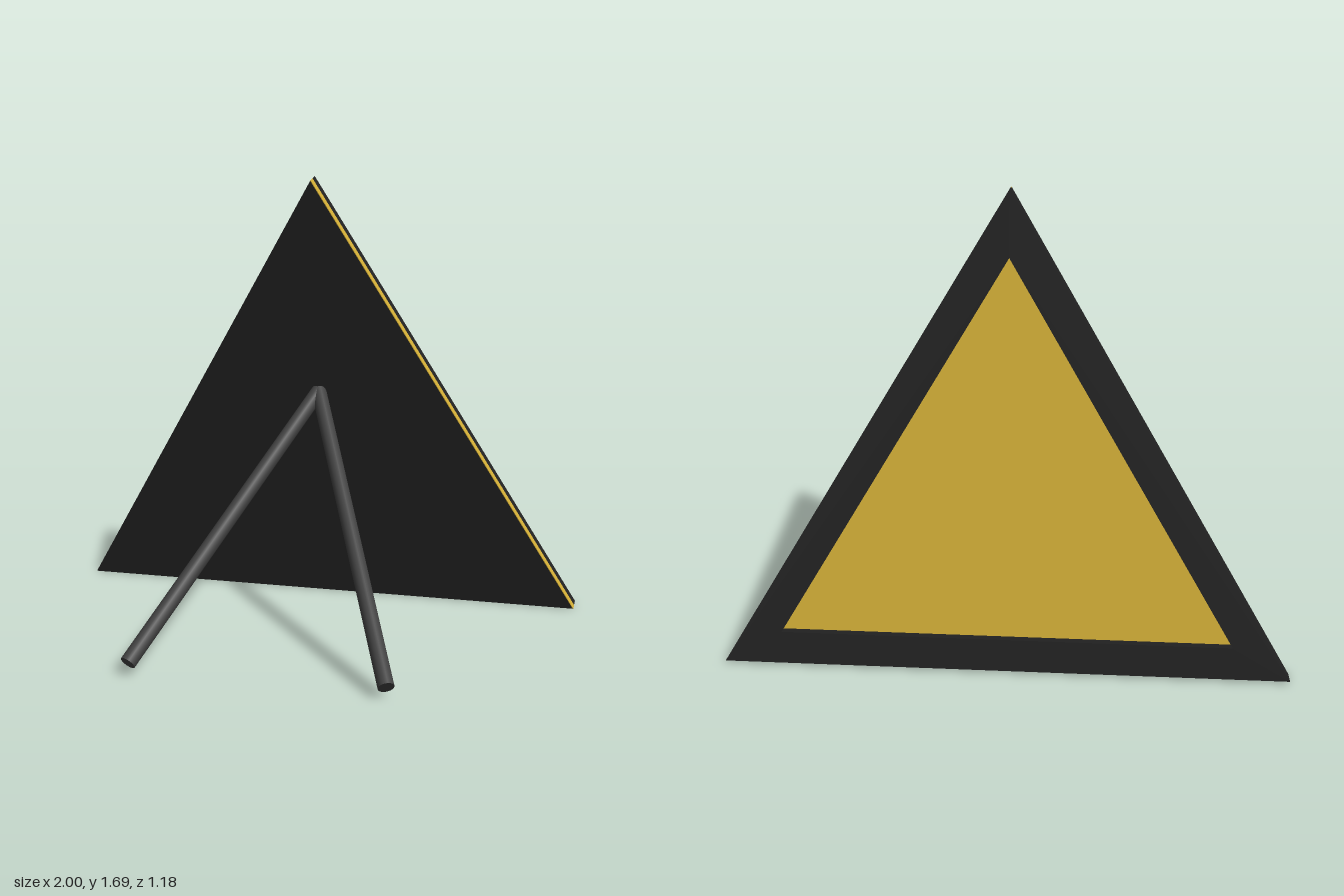
import * as THREE from 'three';

const W = 1, H = 1.702, TILT = THREE.MathUtils.degToRad(9.8);
const BACKING = 0.032, FRAME = 0.036, BORDER = 0.117;

const mat = (color) => new THREE.MeshStandardMaterial({ color });
const outline = (pts) => pts.map(([x, y]) => new THREE.Vector2(x, y));

// Flat plate whose front lies at local z = front
function plate(name, pts, depth, front, material, hole) {
  const shape = new THREE.Shape(outline(pts));
  if (hole) shape.holes.push(new THREE.Path(outline(hole)));
  const geo = new THREE.ExtrudeGeometry(shape, { depth, bevelEnabled: false });
  geo.translate(0, 0, front - depth);
  const mesh = new THREE.Mesh(geo, material);
  mesh.name = name;
  return mesh;
}

// Round bar between two points
function bar(name, a, b, radius, material) {
  const dir = b.clone().sub(a);
  const mesh = new THREE.Mesh(new THREE.CylinderGeometry(radius, radius, dir.length(), 16), material);
  mesh.position.copy(a).add(b).multiplyScalar(0.5);
  mesh.quaternion.setFromUnitVectors(new THREE.Vector3(0, 1, 0), dir.normalize());
  mesh.name = name;
  return mesh;
}

export function createModel() {
  const model = new THREE.Group();
  model.name = 'triangularPanelOnStand';
  const black = mat(0x222222), gold = mat(0xd4af37), legGrey = mat(0x404040);

  // Leaning triangular panel
  const panel = new THREE.Group();
  panel.name = 'panel';
  panel.position.set(0, 0, -0.525);
  panel.rotation.x = TILT;
  model.add(panel);

  const triangle = [[-W, 0], [W, 0], [0, H]];
  const apexDrop = BORDER / Math.sin(Math.atan(W / H));
  const innerW = W * (H - apexDrop - BORDER) / H;
  const inner = [[-innerW, BORDER], [innerW, BORDER], [0, H - apexDrop]];

  // Backing board, trimmed on one edge for the gold strip
  const t = 0.003;
  const trimmed = [[-W, 0], [W - t, 0], [-t / 2, H - t / 2 * H], [-t / 2, H - t / 2 * H]].slice(0, 3);
  panel.add(plate('backingBoard', trimmed, BACKING, 0, black));
  const strip = [[W - t, 0], [W, 0], [0, H], [-t / 2, H - t / 2 * H]];
  panel.add(plate('edgeStrip', strip, BACKING, 0, gold));

  // Recessed gold face and the raised border around it
  panel.add(plate('goldFace', inner, 0.003, -BACKING, gold));
  panel.add(plate('frame', triangle, FRAME, -BACKING, black, inner));

  // Pair of splayed support legs
  for (const [name, s] of [['leftLeg', 1], ['rightLeg', -1]]) {
    model.add(bar(name, new THREE.Vector3(0, 0.855, -0.38),
      new THREE.Vector3(s * 0.46, 0.043, 0.567), 0.029, legGrey));
  }
  return model;
}
